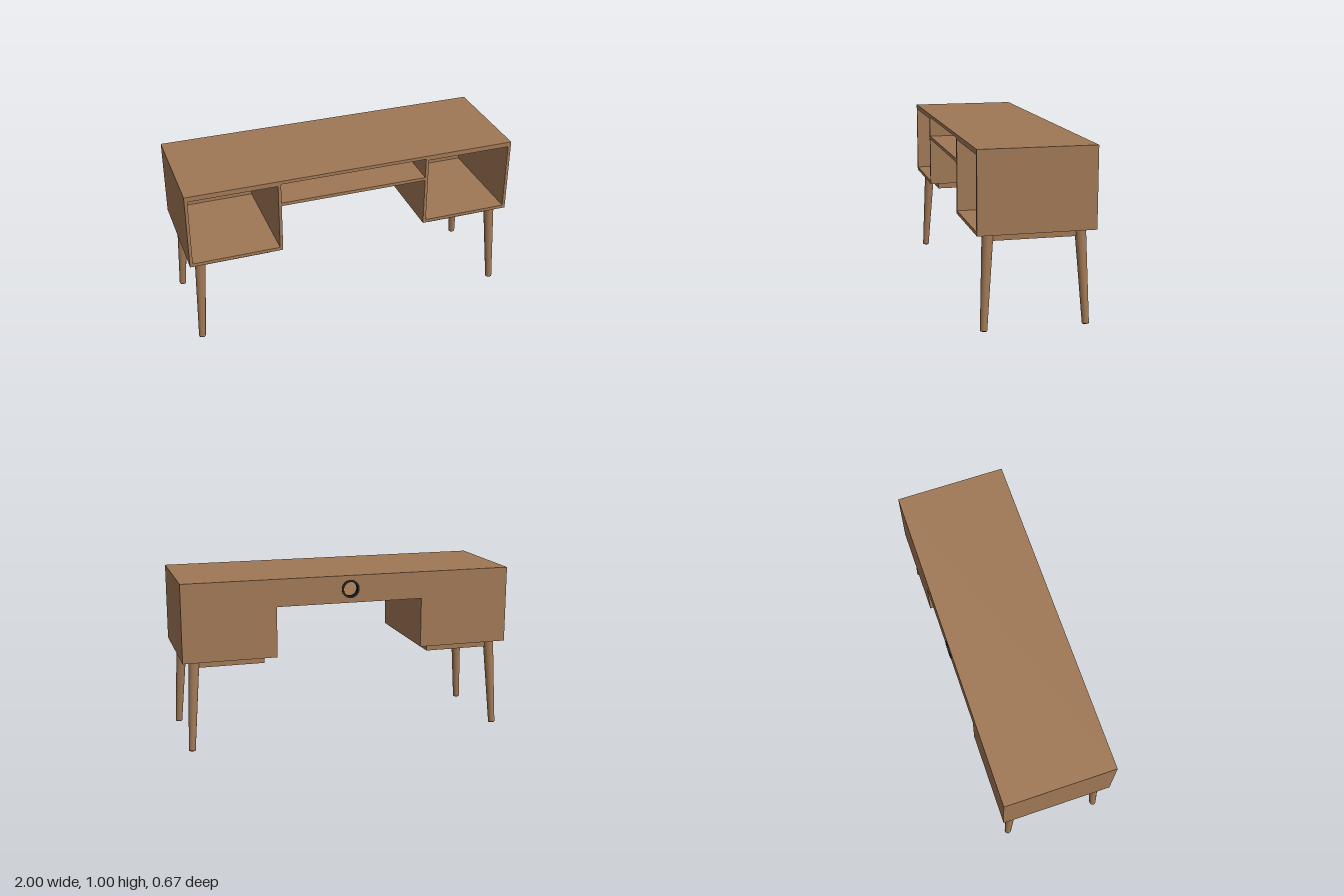
import * as THREE from 'three';

const wood = new THREE.MeshStandardMaterial({ color: 0xa07855 });
wood.name = 'wood';
const black = new THREE.MeshStandardMaterial({ color: 0x1e1e1e });
black.name = 'black rubber';

const BACK = -0.33, FRONT = 0.335, MID = (BACK + FRONT) / 2;
const TOP = 1.003, UNDER = 0.983, FLOOR = 0.54, T = 0.02;

function add(parent, name, geometry, material = wood) {
  const mesh = new THREE.Mesh(geometry, material);
  mesh.name = name;
  parent.add(mesh);
  return mesh;
}

// Box given by its extents along each axis
function board(parent, name, [x0, x1], [y0, y1], [z0, z1]) {
  const mesh = add(parent, name, new THREE.BoxGeometry(x1 - x0, y1 - y0, z1 - z0));
  mesh.position.set((x0 + x1) / 2, (y0 + y1) / 2, (z0 + z1) / 2);
  return mesh;
}

// Tapered round bar between two points
function bar(parent, name, from, to, r0, r1, material) {
  const dir = to.clone().sub(from);
  const mesh = add(parent, name, new THREE.CylinderGeometry(r1, r0, dir.length(), 32), material);
  mesh.position.copy(from).add(to).multiplyScalar(0.5);
  mesh.quaternion.setFromUnitVectors(new THREE.Vector3(0, 1, 0), dir.normalize());
  return mesh;
}

// Open-fronted cabinet; s is the side, +1 or -1
function cabinet(s) {
  const g = new THREE.Group();
  g.name = s > 0 ? 'leftCabinet' : 'rightCabinet';
  const span = (a, b) => (s > 0 ? [a, b] : [-b, -a]);
  const depth = [BACK, FRONT], wall = [FLOOR + T, UNDER];
  board(g, 'cabinetFloor', span(0.445, 1), [FLOOR, FLOOR + T], depth);
  board(g, 'outerSide', span(0.982, 1), wall, depth);
  board(g, 'innerSide', span(0.445, 0.463), wall, depth);
  board(g, 'cabinetBack', span(0.463, 0.982), wall, [BACK, BACK + T]);
  board(g, 'cabinetLid', span(0.463, 0.982), [0.973, UNDER], [BACK + T, FRONT]);

  // Rail frame beneath the cabinet
  const h = [0.495, FLOOR], r = 0.27;
  board(g, 'innerRail', span(0.51, 0.532), h, [MID - r, MID + r]);
  board(g, 'outerRail', span(0.915, 0.937), h, [MID - r + 0.022, MID + r - 0.022]);
  for (const e of [1, -1]) {
    const c = MID + e * (r - 0.011);
    board(g, 'crossRail', span(0.532, 0.915), h, [c - 0.011, c + 0.011]);

    // Splayed leg with a dark foot cap
    const foot = new THREE.Vector3(s * 0.957, 0, MID + e * 0.289);
    const head = new THREE.Vector3(s * 0.925, FLOOR, MID + e * 0.259);
    const lift = foot.clone().lerp(head, 0.009);
    bar(g, 'leg', lift, head, 0.02, 0.032);
    bar(g, 'footCap', foot, lift, 0.0195, 0.02, black);
  }
  return g;
}

export function createModel() {
  const desk = new THREE.Group();
  desk.name = 'desk';

  board(desk, 'desktop', [-1, 1], [UNDER, TOP], [BACK, FRONT]);
  desk.add(cabinet(1), cabinet(-1));

  // Centre compartment
  board(desk, 'centreShelf', [-0.445, 0.445], [0.84, 0.86], [BACK, FRONT]);
  const cy = 0.922;
  const panel = new THREE.Shape();
  panel.moveTo(-0.445, 0.86).lineTo(0.445, 0.86).lineTo(0.445, UNDER).lineTo(-0.445, UNDER).closePath();
  panel.holes.push(new THREE.Path().absarc(0, cy, 0.047, 0, Math.PI * 2, true));
  add(desk, 'centreBack', new THREE.ExtrudeGeometry(panel, {
    depth: T, bevelEnabled: false, curveSegments: 32,
  })).position.z = BACK;

  // Cable grommet lining the hole, with a lip on both faces
  const z0 = BACK - 0.005, z1 = BACK + T + 0.004;
  const profile = [
    [0.042, z0], [0.042, z1], [0.054, z1], [0.054, BACK + T],
    [0.047, BACK + T], [0.047, BACK], [0.054, BACK], [0.054, z0], [0.042, z0],
  ].map(([r, z]) => new THREE.Vector2(r, z));
  const ring = new THREE.LatheGeometry(profile.reverse(), 40).toNonIndexed();
  ring.computeVertexNormals();
  ring.rotateX(Math.PI / 2);
  add(desk, 'cableGrommet', ring, black).position.y = cy;

  return desk;
}
